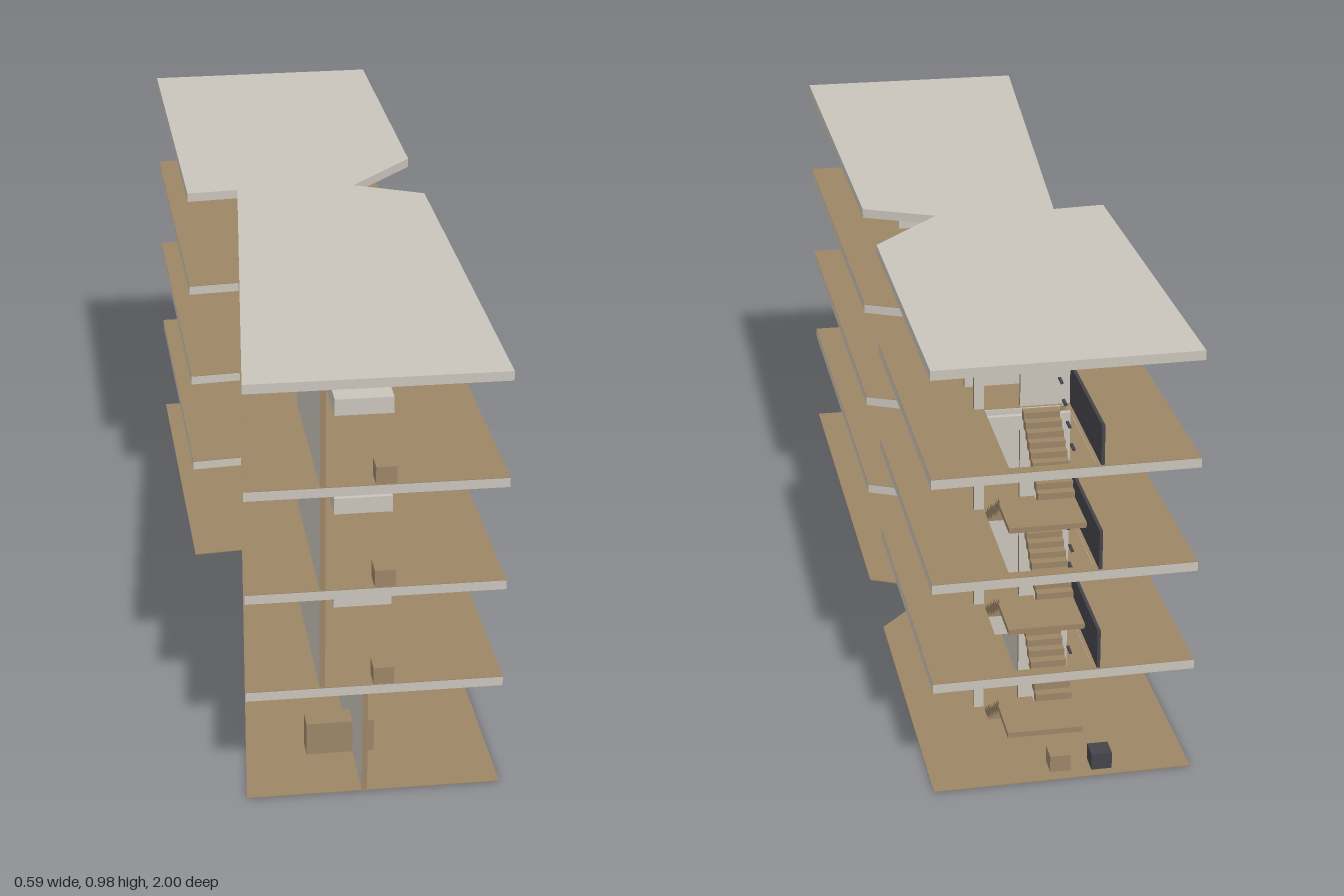
import * as THREE from 'three';

const concrete = new THREE.MeshStandardMaterial({ name: 'concrete', color: 0xc9c4bb });
const wood = new THREE.MeshStandardMaterial({ name: 'wood', color: 0x9c8566 });
const dark = new THREE.MeshStandardMaterial({ name: 'dark metal', color: 0x45444b });

// Plan outline as [x, z]
const PLAN = [[-0.30, -0.99], [0.265, -1], [0.275, -0.27], [0.115, -0.1], [0.275, -0.025],
  [0.29, 1], [-0.26, 1], [-0.165, -0.1], [-0.285, -0.09]];
const FLOORS = [0, 0.265, 0.5, 0.74, 0.98];   // finished floor heights and roof
const SLAB = 0.021;
const WALL = 0.012;

// Horizontal plate of the plan, with or without the stairwell opening
function plate(name, y, height, material, withHole) {
  const toV = ([x, z]) => new THREE.Vector2(x, -z);
  const shape = new THREE.Shape(PLAN.map(toV));
  if (withHole) {
    const hole = [[-0.08, -0.972], [0.1, -0.972], [0.1, -0.68], [-0.08, -0.68]];
    shape.holes.push(new THREE.Path(hole.map(toV)));
  }
  const geo = new THREE.ExtrudeGeometry(shape, { depth: height, bevelEnabled: false });
  geo.rotateX(-Math.PI / 2);
  const mesh = new THREE.Mesh(geo, material);
  mesh.position.y = y;
  mesh.name = name;
  return mesh;
}

// Box given by its minimum and maximum on each axis
function box(name, [x0, x1], [y0, y1], [z0, z1], material) {
  const mesh = new THREE.Mesh(new THREE.BoxGeometry(x1 - x0, y1 - y0, z1 - z0), material);
  mesh.position.set((x0 + x1) / 2, (y0 + y1) / 2, (z0 + z1) / 2);
  mesh.name = name;
  return mesh;
}

// Walls show wood on their cut ends
const endsX = [wood, wood, concrete, concrete, concrete, concrete];
const endsZ = [concrete, concrete, concrete, concrete, wood, wood];

// Wall at the head of the stairs, with a doorway
function stairWall(y0, y1) {
  const g = new THREE.Group();
  g.name = 'stairWall';
  const z = [-0.673, -0.662];
  g.add(box('wallPanel', [-0.09, 0.021], [y0, y1], z, endsX));
  g.add(box('wallPier', [0.1, 0.122], [y0, y1], z, endsX));
  g.add(box('doorLintel', [0.021, 0.1], [y0 + 0.185, y1], z, concrete));
  return g;
}

// Half-turn stair with a landing and handrail pieces
function stair(y0, y1) {
  const g = new THREE.Group();
  g.name = 'stair';
  const half = y0 + (y1 - y0) * 0.47;
  const steps = 9, zLow = -0.695, zHigh = -0.87;
  g.add(box('landing', [-0.06, 0.103], [half - 0.012, half], [-0.99, zHigh], wood));
  const flight = (xs, from, to, zFrom, zTo) => {
    for (let i = 0; i < steps; i++) {
      const top = from + (to - from) * (i + 1) / steps;
      const za = zFrom + (zTo - zFrom) * i / steps;
      const zb = zFrom + (zTo - zFrom) * (i + 1) / steps;
      const low = Math.max(top - 0.022, from - 0.01, y0);
      g.add(box('step', xs, [low, top], [Math.min(za, zb) - 0.002, Math.max(za, zb) + 0.002], wood));
    }
  };
  flight([0.023, 0.1], y0, half, zLow, zHigh);
  flight([-0.06, 0.019], half, y1, zHigh, zLow + 0.01);
  // handrail pieces
  for (let i = 0; i < 4; i++) {
    const t = (i + 0.3) / 4;
    const z = zLow + (zHigh - zLow) * t;
    const yA = y0 + (half - y0) * t + 0.085;
    const yB = y1 + (half - y1) * t + 0.085;
    g.add(box('handrail', [0.094, 0.1], [yA, yA + 0.004], [z - 0.03, z], dark));
    g.add(box('handrail', [-0.06, -0.054], [yB, yB + 0.004], [z - 0.03, z], dark));
  }
  return g;
}

// One upper storey: walls, counters, stools and stair guard
function storey(y0, y1) {
  const g = new THREE.Group();
  g.name = 'storey';
  const xs = [-0.103, -0.103 + WALL];
  const doors = [[0.52, 0.6], [0, 0.08], [-0.515, -0.43]];

  // long wall between the doorways
  let zTop = 0.998;
  for (const [a, b] of doors) {
    g.add(box('longWall', xs, [y0, y1], [b, zTop], endsZ));
    g.add(box('doorLintel', xs, [y0 + 0.187, y1], [a, b], concrete));
    zTop = a;
  }
  g.add(box('longWall', xs, [y0, y1], [-0.551, zTop], endsZ));

  // cross walls with a low counter in front of each
  for (const z of [0.487, -0.031, -0.545]) {
    g.add(box('crossWall', [xs[1], 0.122], [y0, y1], [z - WALL / 2, z + WALL / 2], endsX));
    g.add(box('counter', [-0.03, 0.1], [y0, y0 + 0.04], [z + WALL / 2, z + 0.183], concrete));
  }

  // stools
  const high = [y0, y0 + 0.04];
  g.add(box('stool', [0.012, 0.056], high, [0.952, 0.998], wood));
  for (const z of [0.48, -0.036]) {
    g.add(box('stool', [-0.08, -0.04], high, [z - 0.044, z], wood));
    g.add(box('stool', [0.012, 0.056], high, [z - 0.128, z - 0.068], wood));
  }

  g.add(box('stairGuard', [-0.095, -0.088], [y0, y0 + 0.09], [-0.99, -0.672], dark));
  g.add(stairWall(y0, y1));
  return g;
}

export function createModel() {
  const model = new THREE.Group();
  model.name = 'building';

  // ground and slabs
  model.add(plate('ground', 0, 0.002, wood, false));
  for (let i = 1; i < FLOORS.length; i++) {
    const roof = i === FLOORS.length - 1;
    model.add(plate(roof ? 'roof' : 'floorSlab', FLOORS[i] - SLAB, SLAB, concrete, !roof));
    if (!roof) model.add(plate('floorFinish', FLOORS[i], 0.0012, wood, true));
  }

  // upper storeys
  for (let i = 1; i < 4; i++) model.add(storey(FLOORS[i], FLOORS[i + 1] - SLAB));

  // stairs
  for (let i = 0; i < 3; i++) model.add(stair(FLOORS[i], FLOORS[i + 1]));

  // ground storey
  const top = FLOORS[1] - SLAB;
  model.add(box('groundWall', [-0.011, 0.001], [0, top], [-0.662, 0.998], endsZ));
  model.add(stairWall(0, top));
  model.add(box('post', [-0.105, -0.098], [0, top], [-0.49, -0.478], concrete));
  model.add(box('beam', [-0.163, -0.105], [0.185, top], [-0.49, -0.478], concrete));
  model.add(box('entranceBlock', [-0.113, 0.037], [0, 0.08], [0.8, 0.85], wood));
  model.add(box('woodStool', [-0.04, 0.005], [0, 0.04], [-0.966, -0.92], wood));
  model.add(box('darkStool', [-0.13, -0.085], [0, 0.04], [-0.972, -0.926], dark));

  return model;
}
